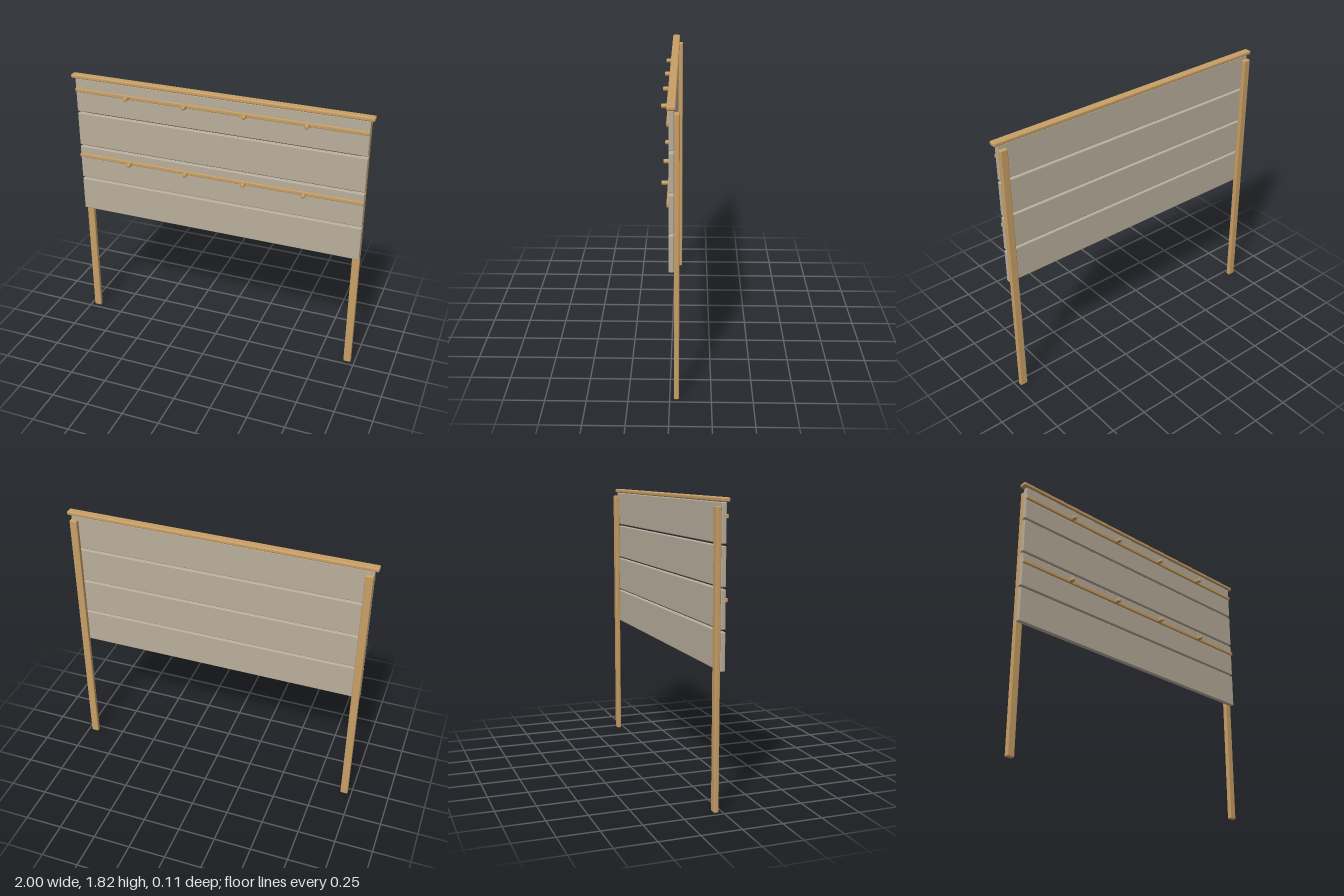
import * as THREE from 'three';
import { RoundedBoxGeometry } from 'three/addons/geometries/RoundedBoxGeometry.js';

export function createModel() {
  const model = new THREE.Group();
  model.name = 'plankBoard';

  const wood = new THREE.MeshStandardMaterial({ color: 0xc89f66 });
  wood.name = 'warm wood';
  const grey = new THREE.MeshStandardMaterial({ color: 0xb9ae9c });
  grey.name = 'weathered grey wood';

  // Softly rounded board given by its limits on each axis
  function board(name, material, [x0, x1], [y0, y1], [z0, z1], radius) {
    const geometry = new RoundedBoxGeometry(x1 - x0, y1 - y0, z1 - z0, 2, radius);
    const mesh = new THREE.Mesh(geometry, material);
    mesh.name = name;
    mesh.position.set((x0 + x1) / 2, (y0 + y1) / 2, (z0 + z1) / 2);
    model.add(mesh);
  }

  // Two posts behind the panel
  board('leftPost', wood, [0.925, 0.976], [0, 1.775], [-0.056, -0.025], 0.007);
  board('rightPost', wood, [-0.976, -0.925], [0, 1.775], [-0.056, -0.025], 0.007);

  // Four wide planks with narrow gaps
  for (let i = 0; i < 4; i++) {
    const y = 0.84 + i * 0.242;
    board(`plank${i + 1}`, grey, [-0.976, 0.976], [y, y + 0.23], [-0.025, 0.005], 0.006);
  }

  // Cap board along the top
  board('capBoard', wood, [-1, 1], [1.797, 1.823], [-0.034, 0.016], 0.008);

  // Peg profile: a short pin with a rounded front edge
  const pegProfile = [[0, 0], [0.011, 0], [0.012, 0.015], [0.0145, 0.017],
    [0.0145, 0.044], [0.012, 0.049], [0.008, 0.051], [0, 0.051]]
    .map(([r, h]) => new THREE.Vector2(r, h));
  const pegGeometry = new THREE.LatheGeometry(pegProfile, 16).rotateX(Math.PI / 2);

  // Two thin rails, each with four pegs
  [['lower', 1.25], ['upper', 1.718]].forEach(([level, y]) => {
    board(`${level}Rail`, wood, [-0.976, 0.976], [y - 0.0125, y + 0.0125], [0.002, 0.017], 0.005);
    [-0.6, -0.2, 0.2, 0.6].forEach((x, i) => {
      const peg = new THREE.Mesh(pegGeometry, wood);
      peg.name = `${level}Peg${i + 1}`;
      peg.position.set(x, y, 0.005);
      model.add(peg);
    });
  });

  return model;
}
